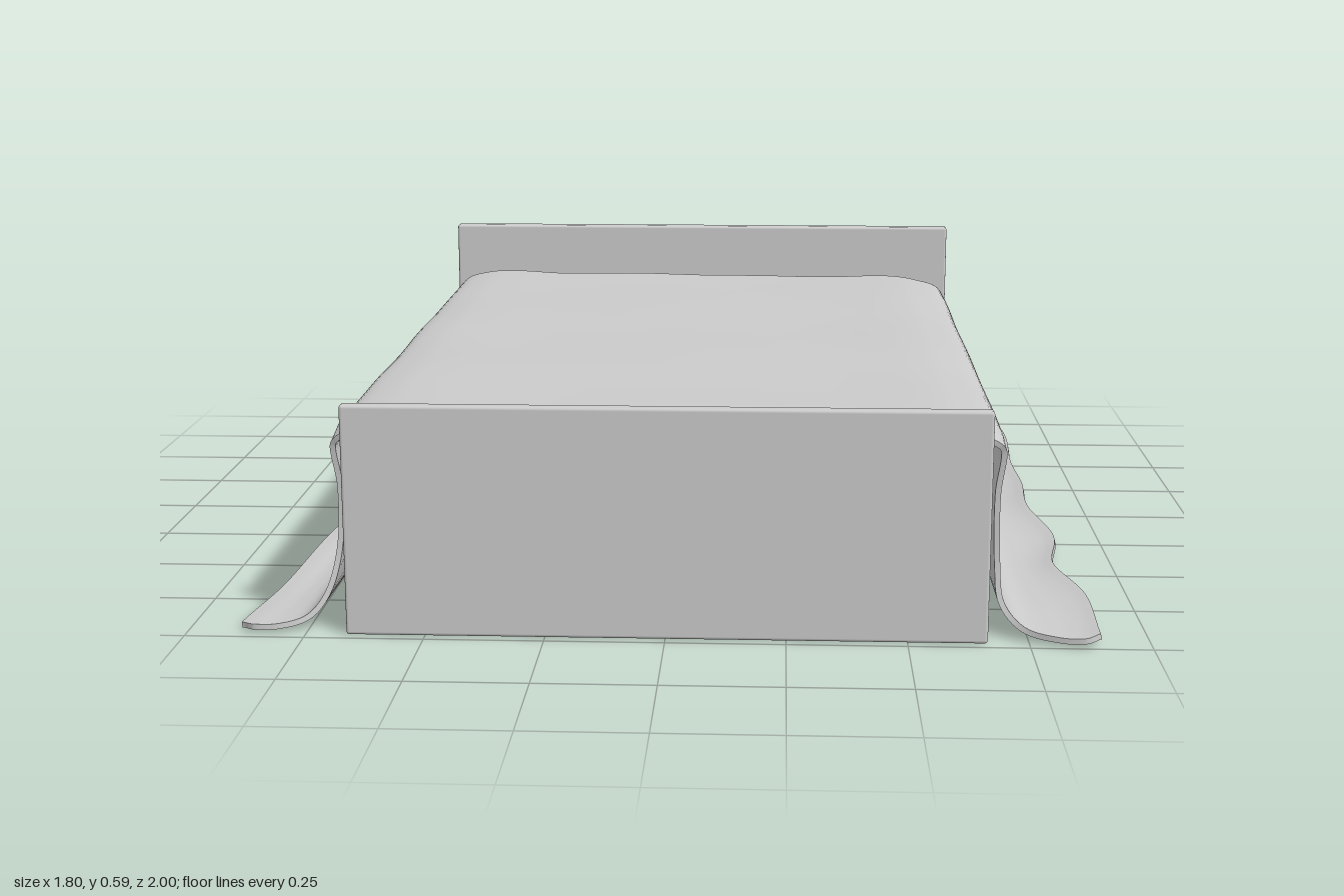
import * as THREE from 'three';
import { RoundedBoxGeometry } from 'three/addons/geometries/RoundedBoxGeometry.js';
import { toCreasedNormals } from 'three/addons/utils/BufferGeometryUtils.js';

const grey = new THREE.MeshStandardMaterial({ color: 0xcccccc, side: THREE.DoubleSide });
const smooth = THREE.MathUtils.smoothstep;

function add(group, name, geometry) {
  const mesh = new THREE.Mesh(geometry, grey);
  mesh.name = name;
  group.add(mesh);
}

// Softly rounded slab given by its x half-width, y range and z range
function slab(halfWidth, y0, y1, z0, z1) {
  return new RoundedBoxGeometry(2 * halfWidth, y1 - y0, z1 - z0, 2, 0.007)
    .translate(0, (y0 + y1) / 2, (z0 + z1) / 2);
}

// Blanket section from one hem to the other: x, y, back edge z, front edge z
const SECTION = [
  [-0.89, 0.016, -0.945, 0.96], [-0.86, 0.018, -0.968, 0.98], [-0.81, 0.018, -0.962, 0.972],
  [-0.755, 0.03, -0.945, 0.945], [-0.718, 0.075, -0.93, 0.928], [-0.694, 0.17, -0.905, 0.91],
  [-0.688, 0.3, -0.905, 0.908], [-0.696, 0.4, -0.92, 0.92], [-0.675, 0.441, -0.945, 0.928],
  [-0.61, 0.46, -0.957, 0.935], [-0.52, 0.466, -0.955, 0.93], [-0.38, 0.467, -0.918, 0.928],
  [0, 0.467, -0.903, 0.923], [0.35, 0.467, -0.903, 0.925], [0.54, 0.467, -0.9, 0.94],
  [0.61, 0.46, -0.88, 0.945], [0.675, 0.441, -0.87, 0.93], [0.698, 0.4, -0.868, 0.92],
  [0.688, 0.3, -0.87, 0.91], [0.69, 0.15, -0.885, 0.91], [0.702, 0.07, -0.905, 0.925],
  [0.74, 0.031, -0.925, 0.96], [0.8, 0.022, -0.94, 0.988], [0.85, 0.025, -0.942, 0.998],
  [0.88, 0.032, -0.925, 0.985],
];

// Wavy hem lines: x at even steps from back to front
const hemCurve = (xs) => new THREE.SplineCurve(xs.map((x) => new THREE.Vector2(x, 0)));
const LEFT_HEM = hemCurve([0.86, 0.87, 0.858, 0.862, 0.85, 0.885, 0.855, 0.895, 0.893]);
const RIGHT_HEM = hemCurve([-0.9, -0.885, -0.852, -0.83, -0.842, -0.86, -0.888]);

// Closed thin sheet: outer surface, inner surface, hems and end edges
function blanketGeometry() {
  const nu = 150, nv = 100, thickness = 0.012;
  const profile = new THREE.CatmullRomCurve3(SECTION.map(([x, y]) => new THREE.Vector3(x, y, 0)), false, 'centripetal');
  const ends = new THREE.SplineCurve(SECTION.map(([, , b, f]) => new THREE.Vector2(b, f)));
  const ring = 2 * (nu + 1), pos = [], index = [];

  for (let j = 0; j <= nv; j++) {
    const v = j / nv;
    const rightHem = RIGHT_HEM.getPoint(v).x, leftHem = LEFT_HEM.getPoint(v).x;
    for (let k = 0; k < ring; k++) {
      const inner = k > nu;
      const u = (inner ? ring - 1 - k : k) / nu;
      const p = profile.getPoint(u), t = profile.getTangent(u), e = ends.getPoint(u);
      const z = THREE.MathUtils.lerp(e.x, e.y, v);
      const onTop = smooth(p.y, 0.38, 0.45), flare = smooth(Math.abs(p.x), 0.7, 0.88);
      const hanging = smooth(p.y, 0.04, 0.15) * (1 - onTop);
      let x = p.x, y = p.y;
      // wavy hem, dented sides, softly creased top that droops at both ends
      x += flare * (p.x < 0 ? rightHem + 0.89 : leftHem - 0.88);
      x += hanging * 0.004 * Math.sin(7 * z + 9 * p.y) * Math.sin(4 * z - 1);
      y += onTop * 0.003 * (Math.sin(6 * p.x + 4 * z) * Math.sin(5 * z - 3 * p.x) + 0.4 * Math.sin(17 * p.x - 13 * z));
      y += flare * 0.004 * Math.sin(9 * z + 2 * p.x);
      y -= onTop * 0.025 * (1 - smooth(Math.min(z - e.x, e.y - z), 0, 0.06));
      if (inner) {
        x += t.y * thickness;
        y -= t.x * thickness;
      }
      pos.push(x, Math.max(y, inner ? 0.001 : 0.012), z);
    }
  }
  for (let j = 0; j < nv; j++) {
    for (let k = 0; k < ring; k++) {
      const a = j * ring + k, c = j * ring + (k + 1) % ring;
      index.push(a, a + ring, c, c, a + ring, c + ring);
    }
  }
  for (let k = 0; k < nu; k++) {
    const a = k, b = k + 1, c = ring - 2 - k, d = ring - 1 - k, f = nv * ring;
    index.push(a, b, c, a, c, d);
    index.push(f + a, f + c, f + b, f + a, f + d, f + c);
  }
  const geometry = new THREE.BufferGeometry();
  geometry.setAttribute('position', new THREE.Float32BufferAttribute(pos, 3));
  geometry.setIndex(index);
  return toCreasedNormals(geometry, 1);
}

export function createModel() {
  const bed = new THREE.Group();
  bed.name = 'bed';

  add(bed, 'headboard', slab(0.71, 0, 0.59, -1, -0.96));
  add(bed, 'footboard', slab(0.665, 0, 0.49, 0.95, 0.98));

  // Hollow thin-walled base, open underneath
  const base = new THREE.Group();
  base.name = 'base';
  for (const side of [-1, 1]) {
    const rail = new THREE.PlaneGeometry(1.91, 0.41).rotateY(side * Math.PI / 2);
    add(base, side > 0 ? 'leftRail' : 'rightRail', rail.translate(side * 0.65, 0.205, -0.005));
  }
  add(base, 'basePanel', new THREE.PlaneGeometry(1.3, 1.91).rotateX(-Math.PI / 2).translate(0, 0.41, -0.005));
  bed.add(base);

  add(bed, 'mattressTop', slab(0.6, 0.411, 0.44, -0.91, 0.91));
  add(bed, 'blanket', blanketGeometry());
  return bed;
}
